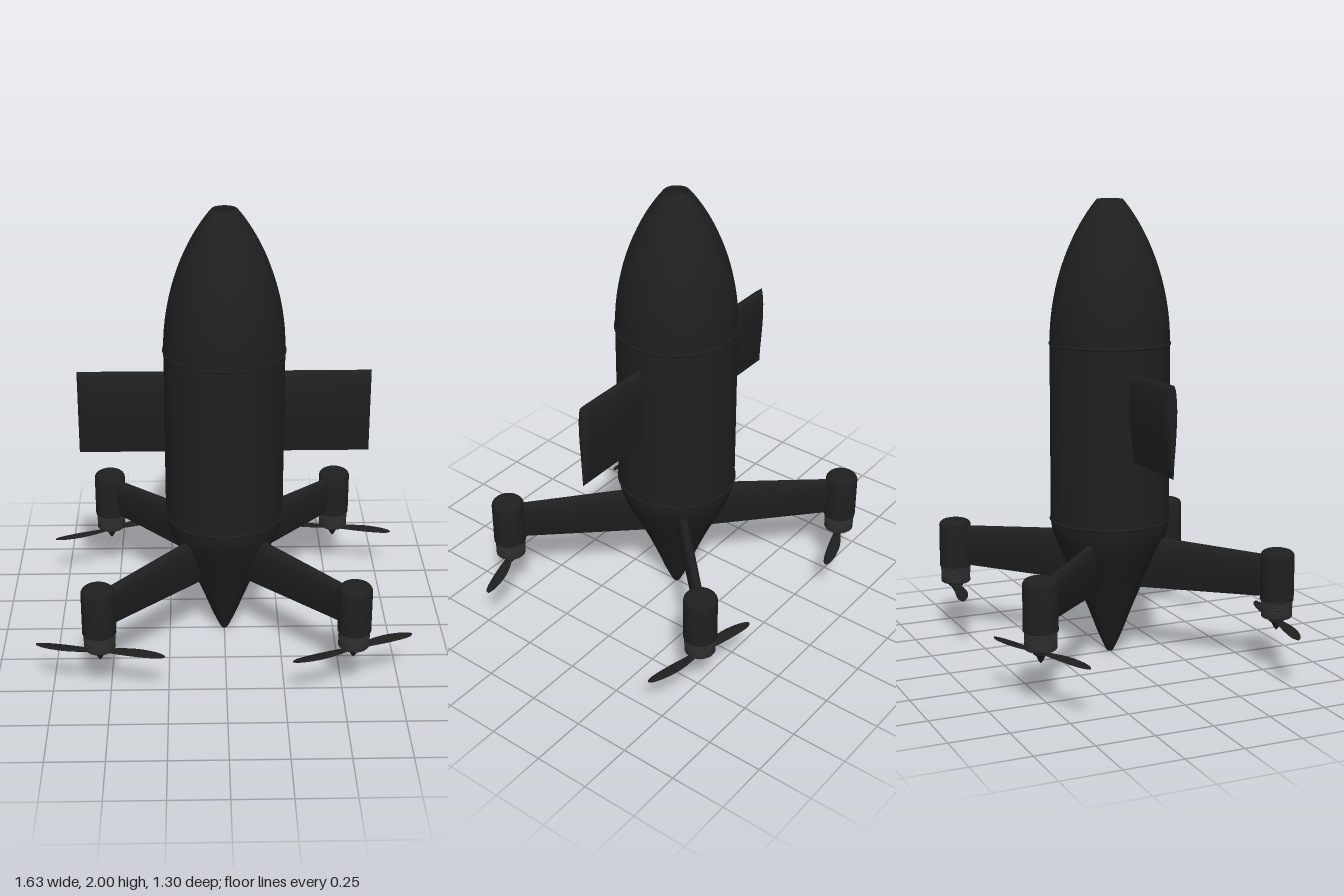
import * as THREE from 'three';
import { toCreasedNormals } from 'three/addons/utils/BufferGeometryUtils.js';

const dark = new THREE.MeshStandardMaterial({ color: 0x1f1f1f });
const motorDark = new THREE.MeshStandardMaterial({ color: 0x2a2a2a });

function part(name, geometry, material = dark) {
  const mesh = new THREE.Mesh(geometry, material);
  mesh.name = name;
  return mesh;
}

// Turned shape from [radius, height] pairs, bottom to top
function turned(profile, segments = 48, crease = 0.5) {
  const points = profile.map(([r, y]) => new THREE.Vector2(r, y));
  return toCreasedNormals(new THREE.LatheGeometry(points, segments), crease);
}

// Airfoil loft along +x; each section is [x, leading y, trailing y, thickness]
function airfoil(sections, n = 14) {
  const half = s => 5 * (0.2969 * Math.sqrt(s) - 0.126 * s - 0.3516 * s ** 2 + 0.2843 * s ** 3 - 0.1036 * s ** 4);
  const positions = [], index = [], ring = 2 * n;
  for (const [x, lead, trail, thick] of sections) {
    for (let j = 0; j < ring; j++) {
      const k = j <= n ? j : ring - j;
      const s = (1 - Math.cos(Math.PI * k / n)) / 2;
      const z = k === n ? 0 : half(s) * thick;
      positions.push(x, lead + (trail - lead) * s, j <= n ? z : -z);
    }
  }
  for (let i = 0; i < sections.length - 1; i++) {
    for (let j = 0; j < ring; j++) {
      const a = i * ring + j, c = i * ring + (j + 1) % ring;
      index.push(a, c, a + ring, c, c + ring, a + ring);
    }
  }
  const geometry = new THREE.BufferGeometry();
  geometry.setAttribute('position', new THREE.Float32BufferAttribute(positions, 3));
  geometry.setIndex(index);
  return toCreasedNormals(geometry, 0.7);
}

function createFuselage() {
  const group = new THREE.Group();
  group.name = 'fuselage';

  // Tapered tail
  const tail = new THREE.SplineCurve([
    [0.018, 0.012], [0.055, 0.095], [0.095, 0.2], [0.145, 0.32],
    [0.2, 0.435], [0.238, 0.52], [0.254, 0.57], [0.26, 0.613],
  ].map(p => new THREE.Vector2(...p))).getPoints(24).map(p => [p.x, p.y]);
  group.add(part('tailCone', turned([[0, 0], [0.011, 0.003], ...tail], 48, 0.8)));
  group.add(part('bodyTube', turned([[0.26, 0.613], [0.26, 1.385]])));

  // Curved nose with a recessed eye at the tip
  const nose = [];
  for (let i = 0; i <= 20; i++) {
    const d = 0.615 * Math.sin(i / 20 * Math.PI / 2);
    nose.push([0.26 * (1 - (d / 0.664) ** 2) ** 0.8, 1.385 + d]);
  }
  group.add(part('nose', turned([...nose, [0.046, 2], [0.044, 1.975], [0, 1.975]])));
  const lens = new THREE.SphereGeometry(0.032, 24, 8, 0, Math.PI * 2, 0, Math.PI / 2);
  lens.scale(1, 0.5, 1).translate(0, 1.975, 0);
  group.add(part('noseLens', lens));

  // Seam rings
  for (const y of [0.613, 1.385]) {
    const ring = part('seamRing', new THREE.TorusGeometry(0.26, 0.005, 8, 48));
    ring.rotation.x = Math.PI / 2;
    ring.position.y = y;
    group.add(ring);
  }
  return group;
}

function createPropeller() {
  const group = new THREE.Group();
  group.name = 'propeller';
  const sections = [];
  for (let i = 0; i <= 14; i++) {
    const t = Math.sin(i / 14 * Math.PI / 2);
    const width = 0.057 * Math.sqrt(Math.max(0, 1 - t ** 5)) * (0.4 + 0.6 * Math.sin(Math.min(1, t / 0.6) * Math.PI / 2));
    const sweep = 0.008 * Math.sin(t * Math.PI);
    sections.push([0.01 + 0.272 * t, sweep + width / 2, sweep - width / 2, 0.007]);
  }
  const geometry = airfoil(sections, 8).rotateX(-Math.PI / 2 + 0.08);
  for (const turn of [0, Math.PI]) {
    const blade = part('blade', geometry);
    blade.rotation.y = turn;
    group.add(blade);
  }
  group.add(part('spinner', turned([[0, -0.045], [0.009, -0.034], [0.02, -0.012], [0.032, -0.004], [0.032, 0.008], [0, 0.008]], 24)));
  return group;
}

// Arm, pod, motor and propeller, built along +x
function createRotorArm(angle, propAngle) {
  const group = new THREE.Group();
  group.name = 'rotorArm';
  group.rotation.y = angle;
  group.add(part('arm', airfoil([[0.13, 0.55, 0.31, 0.05], [0.76, 0.51, 0.33, 0.046]])));

  const rotor = new THREE.Group();
  rotor.name = 'rotor';
  rotor.position.x = 0.762;
  const cap = [];
  for (let i = 0; i <= 6; i++) {
    const a = i / 6 * Math.PI / 2;
    cap.push([0.04 + 0.032 * Math.cos(a), 0.512 + 0.026 * Math.sin(a)]);
  }
  rotor.add(part('pod', turned([[0, 0.322], [0.072, 0.322], ...cap, [0, 0.54]], 32)));

  // Motor with a ribbed upper band
  const ribs = [];
  for (let i = 0; i < 4; i++) {
    const y = 0.286 + i * 0.01;
    ribs.push([0.063, y], [0.067, y + 0.002], [0.067, y + 0.006], [0.063, y + 0.008]);
  }
  rotor.add(part('motor', turned([[0, 0.245], [0.062, 0.245], [0.066, 0.249], [0.066, 0.28], ...ribs, [0.063, 0.325]], 32), motorDark));
  const shaft = part('shaft', new THREE.CylinderGeometry(0.012, 0.012, 0.03, 16));
  shaft.position.y = 0.24;
  rotor.add(shaft);

  const propeller = createPropeller();
  propeller.position.y = 0.23;
  propeller.rotation.y = propAngle - angle;
  rotor.add(propeller);
  group.add(rotor);
  return group;
}

export function createModel() {
  const model = new THREE.Group();
  model.name = 'rotorCraft';
  model.add(createFuselage());

  // Side wings with rounded tips
  const wing = airfoil([
    [0.2, 1.285, 0.905, 0.053], [0.595, 1.285, 0.905, 0.053], [0.612, 1.285, 0.905, 0.047],
    [0.624, 1.285, 0.905, 0.034], [0.63, 1.285, 0.905, 0.018], [0.632, 1.285, 0.905, 0],
  ]);
  for (const [name, turn] of [['leftWing', 0], ['rightWing', Math.PI]]) {
    const mesh = part(name, wing);
    mesh.rotation.y = turn;
    model.add(mesh);
  }

  // Four diagonal arms: front left, back left, back right, front right
  const propAngles = [0.37, -0.21, 0.37, -0.2];
  propAngles.forEach((propAngle, i) => {
    model.add(createRotorArm(-Math.PI / 4 + i * Math.PI / 2, propAngle));
  });
  return model;
}
